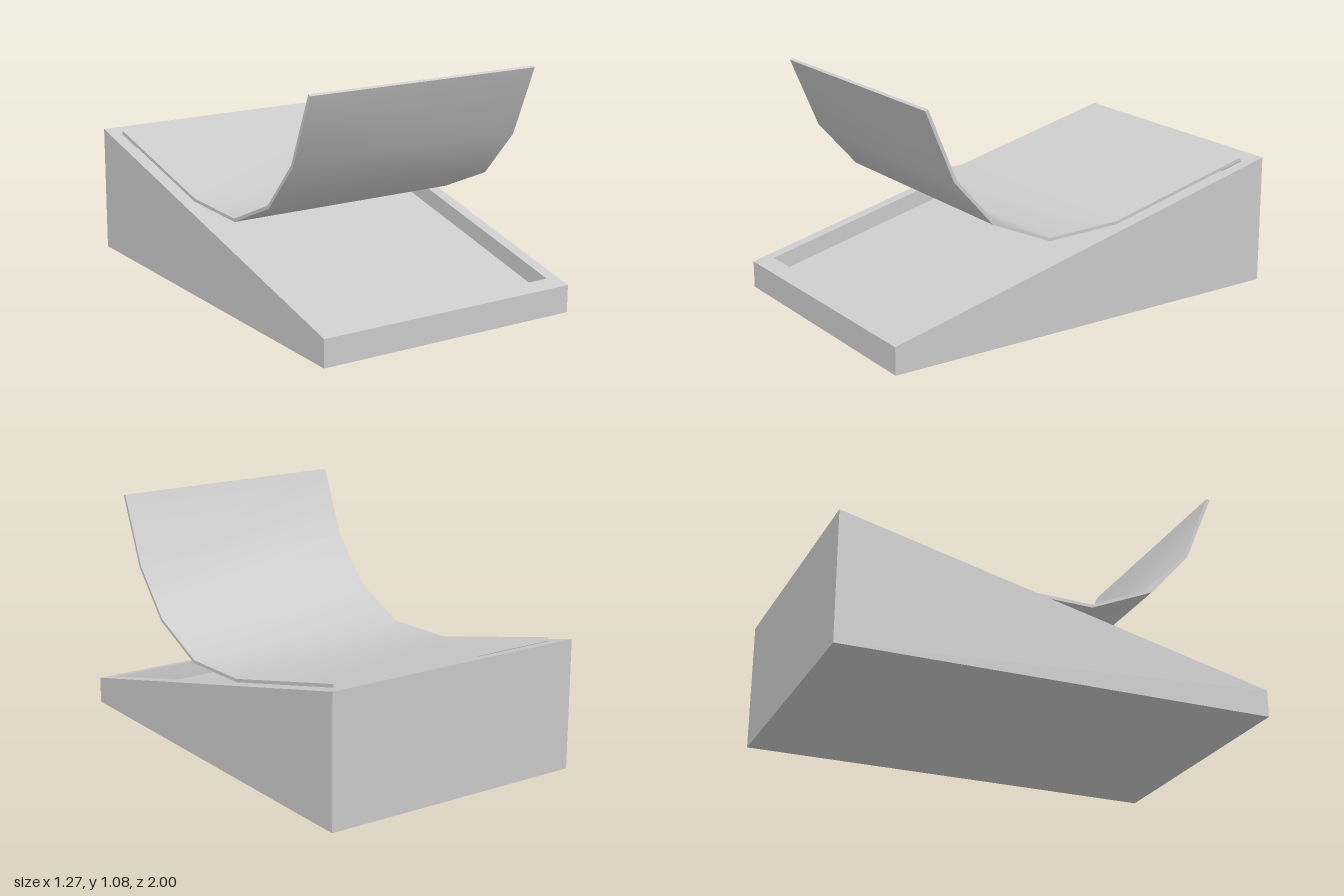
import * as THREE from 'three';

const slope = z => 0.3625 - 0.2375 * z; // height of the sloping top

// Rectangular loop of corners, counter-clockwise from above
const loop = (hx, hz, height) =>
  [[-hx, hz], [hx, hz], [hx, -hz], [-hx, -hz]].map(([x, z]) => [x, height(z), z]);

// Flat-shaded faces from four-cornered quads
function quadGeometry(quads) {
  const p = [];
  for (const [a, b, c, d] of quads) p.push(...a, ...b, ...c, ...a, ...c, ...d);
  const g = new THREE.BufferGeometry();
  g.setAttribute('position', new THREE.Float32BufferAttribute(p, 3));
  g.computeVertexNormals();
  return g;
}

// Smooth strip spanning the width along a z,y path
function stripGeometry(path, hx, flip) {
  const p = [], idx = [];
  path.forEach(([z, y], i) => {
    p.push(-hx, y, z, hx, y, z);
    if (i === 0) return;
    const a = 2 * i - 2, b = a + 1, c = a + 2, d = a + 3;
    idx.push(...(flip ? [a, d, b, a, c, d] : [a, b, d, a, d, c]));
  });
  const g = new THREE.BufferGeometry();
  g.setAttribute('position', new THREE.Float32BufferAttribute(p, 3));
  g.setIndex(idx);
  g.computeVertexNormals();
  return g;
}

export function createModel() {
  const group = new THREE.Group();
  const grey = new THREE.MeshStandardMaterial({ color: 0xcccccc });
  grey.name = 'light grey';
  const add = (name, geometry, parent) => {
    const m = new THREE.Mesh(geometry, grey);
    m.name = name;
    parent.add(m);
  };

  // Wedge base: outer walls, sloping rim, recess walls and floor
  const loops = [
    loop(0.636, 1, () => 0),
    loop(0.636, 1, slope),
    loop(0.58, 0.922, slope),
    loop(0.58, 0.922, z => slope(z) - 0.08),
  ];
  const faces = [[...loops[0]].reverse(), loops[3]];
  for (let k = 0; k < 3; k++) {
    for (let i = 0; i < 4; i++) {
      const j = (i + 1) % 4;
      faces.push([loops[k][i], loops[k][j], loops[k + 1][j], loops[k + 1][i]]);
    }
  }
  add('wedgeBase', quadGeometry(faces), group);

  // Thin cover sheet peeled up from the slope, front tip to back
  const sheet = new THREE.Group();
  sheet.name = 'peeledCover';
  group.add(sheet);
  const hx = 0.575, t = 0.015;
  const under = [[0.802, 1.072], [0.667, 0.75], [0.474, 0.532],
    [0.178, 0.402], [-0.19, 0.41], [-0.922, 0.584]];
  // Offset the underside along its averaged normals
  const upper = under.map(([z, y], i) => {
    const [z0, y0] = under[Math.max(i - 1, 0)];
    const [z1, y1] = under[Math.min(i + 1, under.length - 1)];
    const l = Math.hypot(z1 - z0, y1 - y0);
    return [z + (y1 - y0) / l * t, y - (z1 - z0) / l * t];
  });
  add('coverTop', stripGeometry(upper, hx, false), sheet);
  add('coverUnderside', stripGeometry(under, hx, true), sheet);

  // Cut edges of the sheet
  const at = (x, [z, y]) => [x, y, z];
  const edges = [];
  for (let i = 0; i + 1 < under.length; i++) {
    edges.push([at(hx, under[i]), at(hx, under[i + 1]), at(hx, upper[i + 1]), at(hx, upper[i])]);
    edges.push([at(-hx, under[i + 1]), at(-hx, under[i]), at(-hx, upper[i]), at(-hx, upper[i + 1])]);
  }
  const n = under.length - 1;
  edges.push([at(-hx, under[0]), at(hx, under[0]), at(hx, upper[0]), at(-hx, upper[0])]);
  edges.push([at(hx, under[n]), at(-hx, under[n]), at(-hx, upper[n]), at(hx, upper[n])]);
  add('coverEdges', quadGeometry(edges), sheet);

  return group;
}
